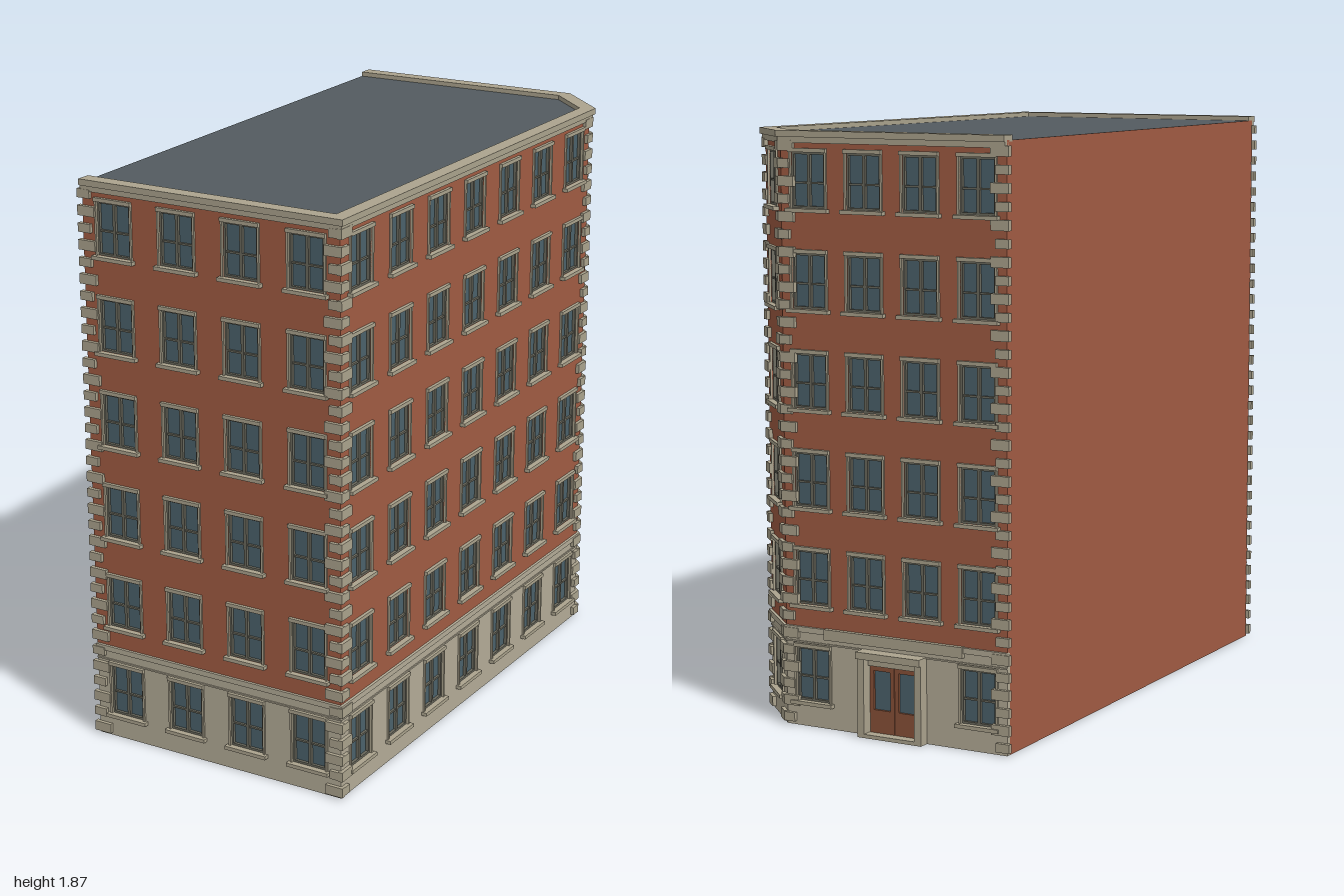
import * as THREE from 'three';
import { mergeGeometries } from 'three/addons/utils/BufferGeometryUtils.js';

const mat = (color) => new THREE.MeshStandardMaterial({ color, side: THREE.DoubleSide, flatShading: true });
const M = {
  brick: mat(0xa25c43), stone: mat(0xb5ad98), trim: mat(0xaca48e), glass: mat(0x4c626c),
  frame: mat(0x6a695d), roof: mat(0x535b60), wood: mat(0x8a5238),
};

// Footprint corners [x, z], running anticlockwise seen from above: front, right, corner, back
const CHAIN = [[-0.06, 0.98], [0.79, 0.625], [0.145, -0.9], [-0.07, -0.98], [-0.8, -0.66]]
  .map(([x, z]) => new THREE.Vector2(x, z));
const BAYS = [4, 7, 1, 4];
const FLOORS = 6, FLOOR_H = 0.31, BASE_H = 0.317, TOP = 1.855;
const WIN = { w: 0.122, h: 0.172, y: 0.082 };
const DEPTH = 0.016, PROUD = 0.012;

function box(w, h, d, x, y, z) {
  return new THREE.BoxGeometry(w, h, d).translate(x, y, z);
}

function addMesh(group, name, geometry, material) {
  const mesh = new THREE.Mesh(geometry, material);
  mesh.name = name;
  group.add(mesh);
}

function rectPath(PathType, x0, y0, x1, y1) {
  const p = new PathType();
  p.moveTo(x0, y0);
  p.lineTo(x1, y0);
  p.lineTo(x1, y1);
  p.lineTo(x0, y1);
  p.closePath();
  return p;
}

// Wall slab with openings; its outer face lies on z = 0
function wallGeometry(len, y0, y1, holes) {
  const shape = rectPath(THREE.Shape, 0, y0, len, y1);
  for (const h of holes) shape.holes.push(rectPath(THREE.Path, ...h));
  return new THREE.ExtrudeGeometry(shape, { depth: DEPTH, bevelEnabled: false }).translate(0, 0, -DEPTH);
}

// Street-side outline pushed outwards by d, mitred at the corners
function offsetChain(d) {
  const normals = CHAIN.slice(1).map((p, i) => {
    const t = p.clone().sub(CHAIN[i]).normalize();
    return new THREE.Vector2(-t.y, t.x);
  });
  return CHAIN.map((p, i) => {
    const a = normals[Math.max(i - 1, 0)], b = normals[Math.min(i, normals.length - 1)];
    const m = a.clone().add(b);
    return p.clone().addScaledVector(m, d / (1 + a.dot(b)));
  });
}

// Horizontal moulding following the street sides
function bandGeometry(y0, y1, inner, outer) {
  const pts = [...offsetChain(outer), ...offsetChain(inner).reverse()];
  const shape = new THREE.Shape(pts.map((p) => new THREE.Vector2(p.x, -p.y)));
  return new THREE.ExtrudeGeometry(shape, { depth: y1 - y0, bevelEnabled: false })
    .rotateX(-Math.PI / 2).translate(0, y0, 0);
}

// Window: glass, sash bars, surround, sill and lintel
function addWindow(parts, x, y) {
  const { w, h } = WIN, cy = y + h / 2;
  parts.glass.push(new THREE.PlaneGeometry(w, h).translate(x, cy, -0.012));
  for (const s of [-1, 1]) {
    parts.frame.push(box(0.007, h, 0.01, x + s * (w / 2 - 0.0035), cy, -0.007));
    parts.frame.push(box(w, 0.007, 0.01, x, cy + s * (h / 2 - 0.0035), -0.007));
    parts.trim.push(box(0.007, h, 0.008, x + s * (w / 2 + 0.0035), cy, 0.002));
  }
  parts.frame.push(box(0.01, h, 0.01, x, cy, -0.007));
  parts.frame.push(box(w, 0.006, 0.008, x, cy - 0.008, -0.008));
  parts.trim.push(box(w + 0.03, 0.012, 0.024, x, y - 0.006, 0.006));
  parts.trim.push(box(w + 0.014, 0.012, 0.014, x, y + h + 0.006, 0.004));
}

// Alternating long and short corner stones at both ends of a wall
function addQuoins(parts, len, extStart, extEnd, phase) {
  const pitch = 0.0545;
  for (let i = 0; i * pitch < 1.82; i++) {
    const l = (i + phase) % 2 ? 0.034 : 0.05, y = 0.025 + i * pitch;
    const h = (i + phase) % 2 ? 0.028 : 0.032;
    for (const [start, ext] of [[true, extStart], [false, extEnd]]) {
      const w = l + ext, c = (l - ext) / 2;
      parts.quoins.push(box(w, h, PROUD + 0.004, start ? c : len - c, y, (PROUD - 0.004) / 2));
    }
  }
}

// Double door with projecting surround, step and plain panel above
function createEntrance(x) {
  const g = new THREE.Group();
  g.name = 'entrance';
  const wood = [], glass = [], stone = [];
  for (const s of [-1, 1]) {
    stone.push(box(0.024, 0.26, 0.04, s * 0.103, 0.13, 0.016));
    wood.push(box(0.086, 0.075, 0.012, s * 0.045, 0.0475, -0.004));
    for (const e of [0.008, 0.082]) wood.push(box(0.014, 0.215, 0.012, s * e, 0.1175, -0.004));
    wood.push(box(0.086, 0.016, 0.012, s * 0.045, 0.217, -0.004));
    glass.push(new THREE.PlaneGeometry(0.07, 0.13).translate(s * 0.045, 0.15, -0.006));
  }
  stone.push(box(0.23, 0.022, 0.05, 0, 0.262, 0.021));
  stone.push(box(0.23, 0.012, 0.04, 0, 0.006, 0.016));
  stone.push(box(0.182, 0.026, 0.02, 0, 0.238, 0));
  addMesh(g, 'doorSurround', mergeGeometries(stone), M.trim);
  addMesh(g, 'doorLeaves', mergeGeometries(wood), M.wood);
  addMesh(g, 'doorGlass', mergeGeometries(glass), M.glass);
  addMesh(g, 'fasciaPanel', box(0.5, 0.034, 0.016, 0, 0.305, 0.008), M.trim);
  g.position.x = x;
  return g;
}

function createFacade(i, name) {
  const g = new THREE.Group();
  g.name = name;
  const a = CHAIN[i], b = CHAIN[i + 1], len = a.distanceTo(b), n = BAYS[i];
  const hasDoor = i === 3;
  const parts = { glass: [], frame: [], trim: [], quoins: [] };
  const lower = [], upper = [];
  for (let f = 0; f < FLOORS; f++) {
    for (let k = 0; k < n; k++) {
      if (hasDoor && f === 0 && (k === 1 || k === 2)) continue;
      const x = (k + 0.5) * len / n, y = WIN.y + f * FLOOR_H;
      (f ? upper : lower).push([x - WIN.w / 2, y, x + WIN.w / 2, y + WIN.h]);
      addWindow(parts, x, y);
    }
  }
  if (hasDoor) {
    lower.push([len / 2 - 0.091, 0.01, len / 2 + 0.091, 0.25]);
    g.add(createEntrance(len / 2));
  }
  // Quoins reach just far enough to close each corner
  const angle = (k) => Math.atan2(CHAIN[k + 1].y - CHAIN[k].y, CHAIN[k + 1].x - CHAIN[k].x);
  const ext = (k) => {
    if (k < 1 || k > 3) return PROUD;
    const t = angle(k) - angle(k - 1);
    return PROUD * Math.abs(Math.tan(Math.atan2(Math.sin(t), Math.cos(t)) / 2));
  };
  addQuoins(parts, len, ext(i), ext(i + 1), i % 2);

  addMesh(g, 'stoneBaseWall', wallGeometry(len, 0, BASE_H, lower), M.stone);
  addMesh(g, 'brickWall', wallGeometry(len, BASE_H, TOP, upper), M.brick);
  addMesh(g, 'windowGlass', mergeGeometries(parts.glass), M.glass);
  addMesh(g, 'windowSashes', mergeGeometries(parts.frame), M.frame);
  addMesh(g, 'windowSurrounds', mergeGeometries(parts.trim), M.trim);
  addMesh(g, 'quoins', mergeGeometries(parts.quoins), M.trim);
  g.position.set(a.x, 0, a.y);
  g.rotation.y = Math.atan2(-(b.y - a.y), b.x - a.x);
  return g;
}

export function createModel() {
  const model = new THREE.Group();
  model.name = 'cornerBuilding';
  ['frontFacade', 'rightFacade', 'cornerFacade', 'backFacade'].forEach((name, i) => model.add(createFacade(i, name)));

  // Blank party wall on the remaining side
  const a = CHAIN[4], b = CHAIN[0], len = a.distanceTo(b);
  const party = new THREE.PlaneGeometry(len, TOP).translate(0, TOP / 2, 0)
    .rotateY(Math.atan2(-(b.y - a.y), b.x - a.x)).translate((a.x + b.x) / 2, 0, (a.y + b.y) / 2);
  addMesh(model, 'partyWall', party, M.brick);

  // Flat roof
  const roof = new THREE.ShapeGeometry(new THREE.Shape(CHAIN.map((p) => new THREE.Vector2(p.x, -p.y))));
  addMesh(model, 'roof', roof.rotateX(-Math.PI / 2).translate(0, TOP, 0), M.roof);

  // Mouldings
  addMesh(model, 'cornice', bandGeometry(1.85, 1.87, -0.032, 0.018), M.trim);
  addMesh(model, 'corniceBed', bandGeometry(1.832, 1.85, -0.01, 0.011), M.trim);
  addMesh(model, 'baseBand', bandGeometry(0.302, 0.32, -0.01, 0.009), M.stone);
  addMesh(model, 'baseFillet', bandGeometry(0.268, 0.273, -0.01, 0.004), M.stone);
  return model;
}
